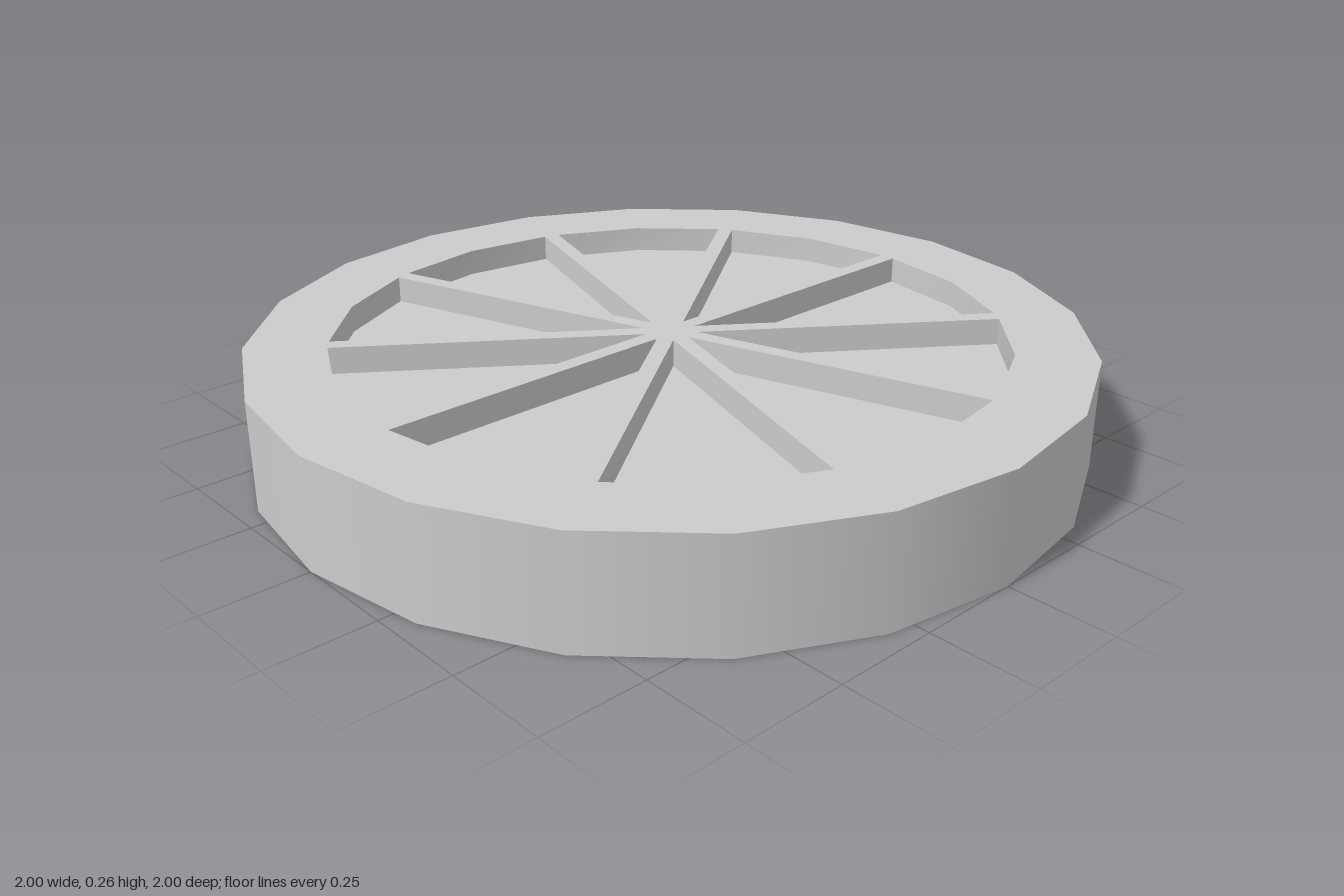
import * as THREE from 'three';
import { toCreasedNormals } from 'three/addons/utils/BufferGeometryUtils.js';

const HEIGHT = 0.265, SIDES = 20, SPOKES = 10;
const RIM_INNER = 0.807, SPOKE_HALF = 0.02, POCKET_DEPTH = 0.066;

// Outline of one wedge pocket between two spokes, counter-clockwise
function pocketOutline(index) {
  const half = Math.PI / SPOKES;
  const t = 1 - SPOKE_HALF / (RIM_INNER * Math.sin(half));
  const u = RIM_INNER * (1 + (Math.cos(half) - 1) * t);
  const v = RIM_INNER * Math.sin(half) * t;
  const turn = Math.PI / 2 + half * (2 * index + 1);
  return [[SPOKE_HALF / Math.sin(half), 0], [u, -v], [RIM_INNER, 0], [u, v]]
    .map(([x, y]) => new THREE.Vector2(x, y).rotateAround(new THREE.Vector2(), turn));
}

// Inward-facing walls going down from the outline
function pocketWalls(outline) {
  const pos = [];
  outline.forEach((a, i) => {
    const b = outline[(i + 1) % outline.length], d = -POCKET_DEPTH;
    pos.push(a.x, a.y, 0, b.x, b.y, 0, b.x, b.y, d);
    pos.push(a.x, a.y, 0, b.x, b.y, d, a.x, a.y, d);
  });
  const geo = new THREE.BufferGeometry();
  geo.setAttribute('position', new THREE.Float32BufferAttribute(pos, 3));
  return toCreasedNormals(geo, Math.PI / 6);
}

export function createModel() {
  const model = new THREE.Group();
  model.name = 'spokedWheel';
  const material = new THREE.MeshStandardMaterial({ color: 0xcccccc });
  const add = (parent, geometry, name) => {
    const mesh = new THREE.Mesh(geometry, material);
    mesh.name = name;
    parent.add(mesh);
    return mesh;
  };

  // Outer tread
  const tread = add(model, new THREE.CylinderGeometry(1, 1, HEIGHT, SIDES, 1, true), 'tread');
  tread.position.y = HEIGHT / 2;

  // Top and bottom faces: rim and spokes around recessed pockets
  for (const [name, y, tilt] of [['topFace', HEIGHT, -1], ['bottomFace', 0, 1]]) {
    const face = new THREE.Group();
    face.name = name;
    face.position.y = y;
    face.rotation.x = tilt * Math.PI / 2;
    model.add(face);

    const disc = new THREE.Shape(Array.from({ length: SIDES }, (_, i) => {
      const a = i * 2 * Math.PI / SIDES;
      return new THREE.Vector2(Math.cos(a), Math.sin(a));
    }));
    for (let i = 0; i < SPOKES; i++) {
      const outline = pocketOutline(i);
      disc.holes.push(new THREE.Path(outline));
      add(face, pocketWalls(outline), 'pocketWalls');
      const floor = add(face, new THREE.ShapeGeometry(new THREE.Shape(outline)), 'pocketFloor');
      floor.position.z = -POCKET_DEPTH;
    }
    add(face, new THREE.ShapeGeometry(disc), 'rimAndSpokes');
  }
  return model;
}
